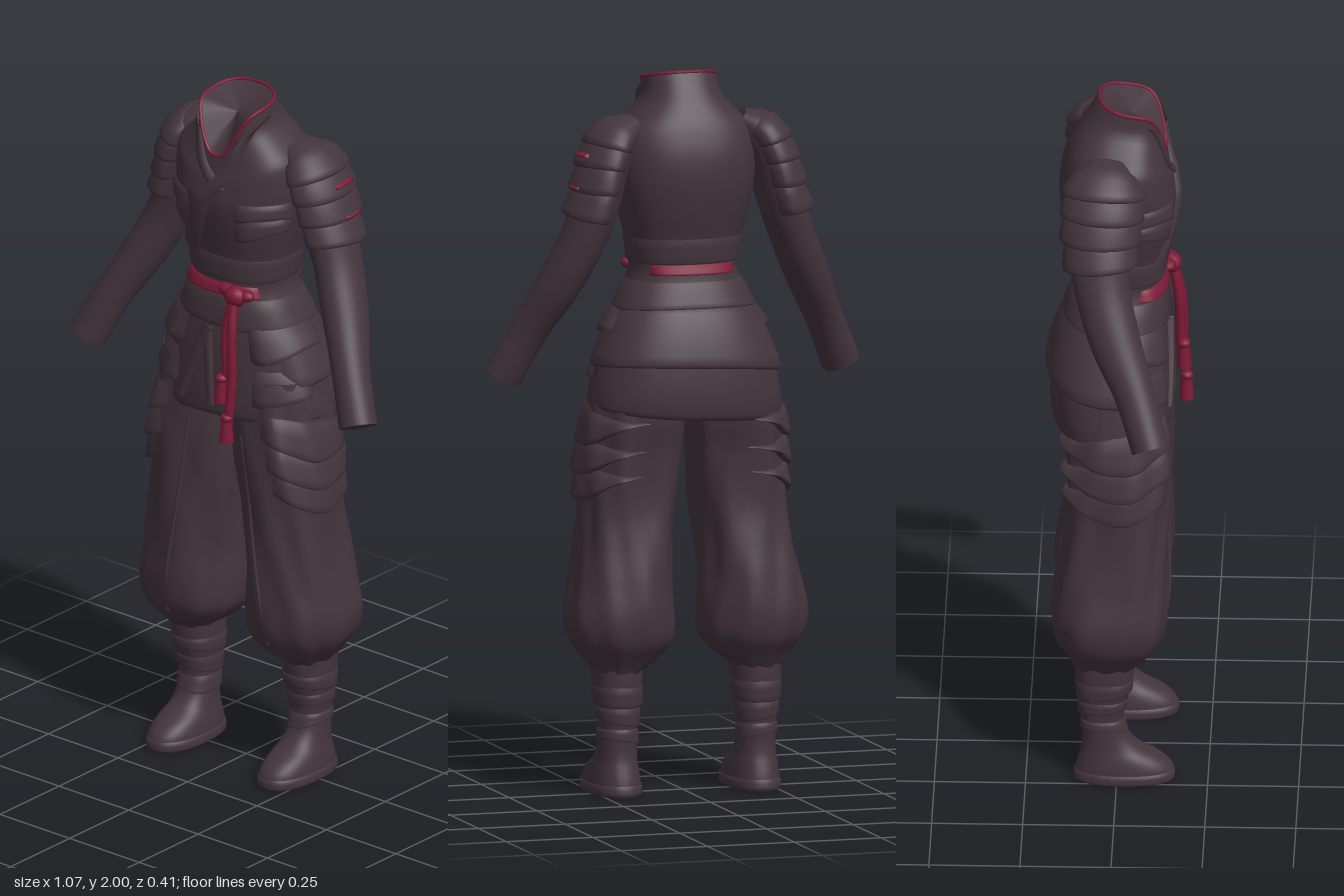
import * as THREE from 'three';
import { mergeGeometries } from 'three/addons/utils/BufferGeometryUtils.js';

const RAD = Math.PI / 180, TAU = Math.PI * 2;
const cloth = new THREE.MeshStandardMaterial({ color: 0x43343c, side: THREE.DoubleSide });
cloth.name = 'dark cloth';
const crimson = new THREE.MeshStandardMaterial({ color: 0x7c1a36, side: THREE.DoubleSide });
crimson.name = 'crimson trim';

// Smooth lookup in a table of rows whose first number is the key (sorted downward or upward).
function rowAt(rows, key) {
  const up = rows[1][0] > rows[0][0] ? 1 : -1;
  let i = 0;
  while (i < rows.length - 2 && (key - rows[i + 1][0]) * up > 0) i++;
  const p = rows[Math.max(i - 1, 0)], q = rows[i], r = rows[i + 1], s = rows[Math.min(i + 2, rows.length - 1)];
  const h = r[0] - q[0], t = Math.min(1, Math.max(0, (key - q[0]) / h)), t2 = t * t, t3 = t2 * t;
  return q.map((v, k) => (2 * t3 - 3 * t2 + 1) * v + (3 * t2 - 2 * t3) * r[k]
    + (t3 - 2 * t2 + t) * h * (r[k] - p[k]) / (r[0] - p[0]) + (t3 - t2) * h * (s[k] - v) / (s[0] - q[0]));
}
const power = (c, n) => Math.sign(c) * Math.abs(c) ** (2 / n);

// Horizontal rounded sections: rows are [y, centre x, half width, front z, back z].
const stacked = (rows, n, wrinkle = () => 0, lift = () => 0) => (a, y, off = 0) => {
  const [, cx, rx, zf, zb] = rowAt(rows, y), o = off + wrinkle(a, y);
  return new THREE.Vector3(cx + (rx + o) * power(Math.cos(a), n), y + lift(a, y),
    (zf + zb) / 2 + ((zf - zb) / 2 + o) * power(Math.sin(a), n));
};

// Indexed grid from a point function, optionally joined around u.
function grid(fn, nu, nv, closed) {
  const pos = [], idx = [], w = closed ? nu : nu + 1;
  for (let j = 0; j <= nv; j++) for (let i = 0; i < w; i++) pos.push(...fn(i / nu, j / nv).toArray());
  for (let j = 0; j < nv; j++) for (let i = 0; i < nu; i++) {
    const a = j * w + i, b = j * w + (i + 1) % w, c = a + w, d = b + w;
    idx.push(a, b, c, b, d, c);
  }
  const g = new THREE.BufferGeometry();
  g.setAttribute('position', new THREE.Float32BufferAttribute(pos, 3));
  g.setIndex(idx);
  g.computeVertexNormals();
  return g;
}

// Closed tube of a surface between two keys, with end discs.
function body(S, t0, t1, nu, nv, sink = 0) {
  const cap = (t, flip) => {
    const c = new THREE.Vector3();
    for (let i = 0; i < nu; i++) c.addScaledVector(S(i / nu * TAU, t), 1 / nu);
    c.y += flip ? -sink : sink;
    return grid((u, v) => S(u * TAU, t).lerp(c, flip ? 1 - v : v), nu, 2, true);
  };
  return mergeGeometries([grid((u, v) => S(u * TAU, t0 + (t1 - t0) * v), nu, nv, true), cap(t0, true), cap(t1, false)]);
}

// Flared cloth layer over a surface, with a turned-under hem.
const hemProfile = [[0, -0.006], [0.1, 0.35], [0.45, 0.7], [0.8, 0.95], [0.95, 1], [1, 0.7], [0.99, -0.008]];
function layer(S, a0, a1, top, bottom, off) {
  const closed = a1 - a0 >= 360, f = (x, a) => (typeof x === 'function' ? x(a) : x);
  return grid((u, v) => {
    const a = (a0 + (a1 - a0) * u) * RAD, [k, m] = hemProfile[Math.round(v * 6)];
    const taper = closed ? 1 : Math.min(1, Math.sin(u * Math.PI) * 2.5);
    const t = f(top, a), b = f(bottom, a);
    return S(a, t + (b - t) * k, m < 0 ? m : off * m * taper - (1 - taper) * 0.004);
  }, Math.max(8, Math.round((a1 - a0) / 6)), 6, closed);
}

function mirror(g) {
  const m = g.clone().scale(-1, 1, 1), ix = m.index.array;
  for (let i = 0; i < ix.length; i += 3) [ix[i], ix[i + 1]] = [ix[i + 1], ix[i]];
  m.computeVertexNormals();
  return m;
}

const torsoRows = [
  [2.0, 0, 0.1, 0.13, -0.055], [1.94, 0, 0.112, 0.135, -0.09], [1.89, 0, 0.155, 0.14, -0.12],
  [1.85, 0, 0.19, 0.148, -0.14], [1.78, 0, 0.2, 0.155, -0.16], [1.7, 0, 0.195, 0.16, -0.163],
  [1.62, 0, 0.18, 0.148, -0.15], [1.54, 0, 0.16, 0.132, -0.13], [1.46, 0, 0.148, 0.124, -0.118],
  [1.4, 0, 0.168, 0.127, -0.13], [1.3, 0, 0.205, 0.13, -0.16], [1.2, 0, 0.238, 0.135, -0.178],
  [1.1, 0, 0.255, 0.138, -0.176], [1.03, 0, 0.258, 0.138, -0.165]];
const legRows = [
  [1.2, 0.13, 0.12, 0.125, -0.14], [1.05, 0.14, 0.133, 0.14, -0.15], [0.95, 0.15, 0.132, 0.145, -0.138],
  [0.8, 0.162, 0.13, 0.138, -0.138], [0.7, 0.172, 0.13, 0.138, -0.152], [0.6, 0.183, 0.136, 0.138, -0.17],
  [0.5, 0.19, 0.148, 0.138, -0.18], [0.43, 0.187, 0.138, 0.125, -0.168], [0.38, 0.19, 0.1, 0.09, -0.135],
  [0.345, 0.2, 0.062, 0.05, -0.115]];
const bootRows = [
  [0.38, 0.2, 0.068, 0.05, -0.115], [0.3, 0.2, 0.066, 0.043, -0.113], [0.2, 0.2, 0.053, 0.02, -0.1],
  [0.14, 0.2, 0.053, 0.03, -0.095], [0.1, 0.2, 0.057, 0.065, -0.097], [0.07, 0.2, 0.065, 0.12, -0.105],
  [0.04, 0.2, 0.07, 0.152, -0.113], [0.01, 0.2, 0.07, 0.155, -0.116], [0, 0.2, 0.066, 0.15, -0.112]];
const armPath = new THREE.CatmullRomCurve3([
  [0.15, 1.865, -0.03], [0.2, 1.825, -0.035], [0.235, 1.75, -0.04], [0.262, 1.65, -0.045],
  [0.302, 1.54, -0.035], [0.357, 1.42, 0], [0.423, 1.29, 0.055], [0.487, 1.155, 0.1]].map(p => new THREE.Vector3(...p)));
const armRadii = [[0, 0.03, 0.05], [1, 0.058, 0.09], [2, 0.062, 0.095], [3, 0.062, 0.086],
  [4, 0.062, 0.076], [5, 0.06, 0.07], [6, 0.052, 0.056], [7, 0.054, 0.052]];

// Torso surface: the neckline dips at the front.
const torso = stacked(torsoRows, 2.4, () => 0, (a, y) => {
  const s = Math.sin(a), k = Math.max(0, (y - 1.72) / 0.28);
  return -k * (0.02 + 0.02 * s + 0.12 * Math.max(0, s) ** 4);
});
const leg = stacked(legRows, 2.3, (a, y) => 0.005 * Math.sin(5 * a + 8 * y) * Math.sin((y - 0.345) * 3.6)
  + 0.003 * Math.sin(9 * a - 14 * y));
const boot = stacked(bootRows, 2.3);
// Arm surface: key 0..7 runs shoulder to cuff, angle 0 faces outward.
const arm = (a, key, off = 0) => {
  const t = Math.min(1, Math.max(0, key / 7)), [, r1, r2] = rowAt(armRadii, key), T = armPath.getTangent(t);
  const Z = new THREE.Vector3(0, 0, 1).addScaledVector(T, -T.z).normalize(), N = Z.clone().cross(T);
  return armPath.getPoint(t).addScaledVector(N, (r1 + off) * Math.cos(a)).addScaledVector(Z, (r2 + off) * Math.sin(a));
};

// Raised band laid on the torso front along a straight line in (x, y).
function band(x0, y0, x1, y1, width, off) {
  const len = Math.hypot(x1 - x0, y1 - y0), nx = -(y1 - y0) / len, ny = (x1 - x0) / len;
  const prof = [[-0.5, -0.004], [-0.46, off], [0, off * 1.15], [0.46, off], [0.5, -0.004]];
  return grid((u, v) => {
    const [k, o] = prof[Math.round(v * 4)];
    const x = x0 + (x1 - x0) * u + nx * width * k, y = Math.min(2, y0 + (y1 - y0) * u + ny * width * k);
    const q = Math.max(-1, Math.min(1, x / rowAt(torsoRows, y)[2]));
    return torso(Math.acos(Math.sign(q) * Math.abs(q) ** 1.2), y, o);
  }, 24, 4, false);
}

export function createModel() {
  const model = new THREE.Group();
  model.name = 'wrappedOutfit';
  const add = (name, g, mat = cloth) => {
    const m = new THREE.Mesh(g, mat);
    m.name = name;
    model.add(m);
    return m;
  };
  const pair = (name, g, mat) => {
    add('left' + name, g, mat);
    add('right' + name, mirror(g), mat);
  };

  // Jacket, collar edge and crossed lapels
  add('jacket', body(torso, 2, 1.12, 64, 60, 0.015));
  const rim = [];
  for (let i = 0; i < 40; i++) rim.push(torso(i / 40 * TAU, 2, -0.001));
  add('collarTrim', new THREE.TubeGeometry(new THREE.CatmullRomCurve3(rim, true), 80, 0.005, 6, true), crimson);
  add('underLapel', band(-0.08, 1.985, 0.03, 1.8, 0.04, 0.007));
  add('overLapel', band(0.08, 1.985, -0.09, 1.54, 0.055, 0.012));
  [[1.73, 1.665], [1.68, 1.62]].forEach(([t, b], i) =>
    pair('ChestPleat' + i, layer(torso, 5, 72, t, a => b + 0.02 * Math.sin(a * 2.5 + i), 0.012)));

  // Waist wrap, belt and hanging sash
  add('waistWrap', layer(torso, 0, 360, 1.55, 1.475, 0.007));
  add('frontBelt', layer(torso, 35, 160, 1.465, 1.43, 0.013), crimson);
  add('backBelt', layer(torso, 215, 325, 1.475, 1.445, 0.012), crimson);
  const ball = (name, x, y, z, sx, sy, sz) => {
    const m = add(name, new THREE.SphereGeometry(1, 14, 10), crimson);
    m.position.set(x, y, z);
    m.scale.set(sx, sy, sz);
  };
  ball('knot', 0.08, 1.445, 0.14, 0.034, 0.03, 0.03);
  ball('knotLoop', 0.045, 1.455, 0.135, 0.03, 0.017, 0.02);
  ball('knotLoop', 0.11, 1.45, 0.13, 0.026, 0.017, 0.02);
  [[0.066, 1.16, 0], [0.09, 1.05, 0.006]].forEach(([x, end, dz]) => {
    const path = new THREE.CatmullRomCurve3([[0.08, 1.45, 0.145], [x, 1.34, 0.163 + dz], [x + 0.004, 1.2, 0.168 + dz],
      [x - 0.006, end, 0.176 + dz]].map(p => new THREE.Vector3(...p)));
    add('sashTail', new THREE.TubeGeometry(path, 24, 0.014, 8), crimson);
    const tassel = add('tassel', new THREE.CylinderGeometry(0.014, 0.021, 0.07, 10), crimson);
    tassel.position.set(x - 0.006, end + 0.01, 0.177 + dz);
    ball('tasselBead', x - 0.006, end + 0.045, 0.177 + dz, 0.019, 0.014, 0.018);
  });

  // Layered skirt of the jacket
  add('underSkirt', layer(torso, 0, 360, 1.36, a => 1.06 + 0.02 * Math.cos(a) + 0.012 * Math.sin(a), 0.014));
  add('hipSkirt', layer(torso, 122, 418, 1.36, a => 1.175 - 0.02 * Math.sin(a) + 0.015 * Math.cos(a), 0.024));
  add('upperSkirt', layer(torso, 0, 360, 1.43, a => 1.345 - 0.01 * Math.sin(a), 0.012));
  pair('HipFlap', layer(torso, -15, 66, 1.36, a => 1.27 + 0.02 * Math.cos(3 * a), 0.032));
  pair('LowerFlap', layer(torso, 5, 68, 1.24, a => 1.135 + 0.02 * Math.cos(2 * a), 0.028));
  add('frontFold', band(-0.015, 1.33, -0.11, 1.1, 0.03, 0.02));
  add('frontFold', band(-0.02, 1.33, 0.0, 1.1, 0.025, 0.017));

  // Gathered trousers with swagged outer layers
  pair('Trouser', body(leg, 1.2, 0.345, 60, 56));
  [[1.08, 0.985, 0.018], [1.0, 0.905, 0.022], [0.93, 0.835, 0.018]].forEach(([t, b, o], i) =>
    pair('Swag' + i, layer(leg, -95, 85 - i * 6, a => t + 0.035 * Math.sin(a), a => b + 0.035 * Math.cos(2 * a) * -1 + 0.02, o)));
  const seam = new THREE.CatmullRomCurve3([1.03, 0.85, 0.7, 0.55, 0.42].map((y, i) => leg((108 - i * 4) * RAD, y, -0.001)));
  pair('FrontSeam', new THREE.TubeGeometry(seam, 30, 0.006, 6));

  // Soft boots with wraps and soles
  pair('Boot', body(boot, 0.38, 0, 36, 40));
  [[0.31, 0.26], [0.25, 0.205], [0.19, 0.15]].forEach(([t, b], i) =>
    pair('BootWrap' + i, layer(boot, 0, 360, t, a => b + 0.012 * Math.sin(a + i), 0.005)));
  pair('Sole', layer(boot, 0, 360, 0.035, 0.003, 0.005));

  // Sleeves and overlapping shoulder bands
  pair('Sleeve', body(arm, 0, 7, 32, 56, 0.012));
  [[0.55, 1.45, 0.02], [1.3, 2.1, 0.022], [1.95, 2.75, 0.024], [2.6, 3.4, 0.022]].forEach(([t, b, o], i) =>
    pair('ShoulderBand' + i, layer(arm, -125, 125, t, a => b + 0.12 * Math.cos(a), o)));
  [[1.75, 2.0], [2.55, 2.8]].forEach(([t, b]) =>
    add('shoulderMark', layer(arm, -32, 18, t, b, 0.0275), crimson));
  return model;
}
